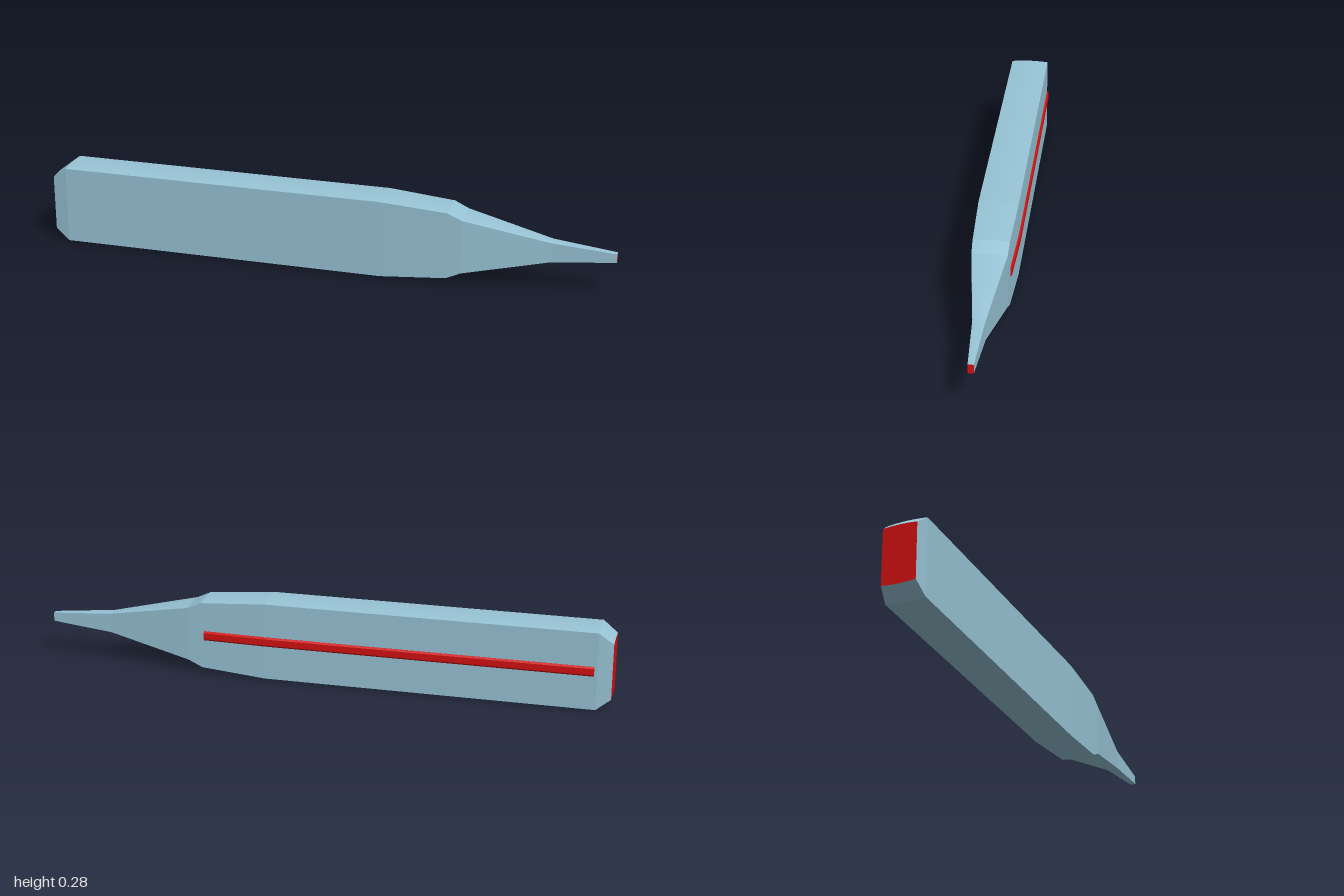
import * as THREE from 'three';

const MID_Y = 0.141, MID_Z = 0.003;

// Faceted geometry from a list of triangles' corner points
function facets(points) {
  const g = new THREE.BufferGeometry().setFromPoints(points);
  g.computeVertexNormals();
  return g;
}

// Skin between successive rings, ordered from low x to high x
function loft(rings) {
  const pts = [];
  for (let s = 0; s < rings.length - 1; s++) {
    const a = rings[s], b = rings[s + 1];
    for (let i = 0; i < a.length; i++) {
      const j = (i + 1) % a.length;
      pts.push(a[i], b[i], b[j], a[i], b[j], a[j]);
    }
  }
  return facets(pts);
}

// Flat end face; the high-x end is wound the other way
function cap(ring, highEnd) {
  const pts = [];
  for (let i = 1; i < ring.length - 1; i++) {
    if (highEnd) pts.push(ring[0], ring[i + 1], ring[i]);
    else pts.push(ring[0], ring[i], ring[i + 1]);
  }
  return facets(pts);
}

// Body section: flat sides with gently crowned top and bottom
function bodyRing([x, halfY, halfZ]) {
  const n = 6, ring = [];
  for (const side of [-1, 1]) {
    for (let i = 0; i <= n; i++) {
      const t = -1 + (2 * i) / n;
      const y = halfY - 0.004 * (halfZ / 0.068) * t * t;
      ring.push(new THREE.Vector3(x, MID_Y + side * y, MID_Z - side * t * halfZ));
    }
  }
  return ring;
}

// Rail section: a shallow strip with chamfered outer edges
function railRing([x, surfaceZ]) {
  const profile = [[-0.011, -0.006], [-0.017, -0.001], [-0.017, 0.004],
    [0.017, 0.004], [0.017, -0.001], [0.011, -0.006]];
  return profile.map(([y, z]) => new THREE.Vector3(x, MID_Y + y, surfaceZ + z));
}

export function createModel() {
  const model = new THREE.Group();
  const blue = new THREE.MeshStandardMaterial({ color: 0x98c4d6 });
  blue.name = 'paleBlue';
  const red = new THREE.MeshStandardMaterial({ color: 0xd41111 });
  red.name = 'red';

  const add = (name, geometry, material) => {
    const mesh = new THREE.Mesh(geometry, material);
    mesh.name = name;
    model.add(mesh);
  };

  // Body and tapering nose: x, half height, half depth
  const body = [
    [-1, 0.102, 0.059], [-0.95, 0.141, 0.068], [0.2, 0.141, 0.068],
    [0.43, 0.123, 0.061], [0.48, 0.1, 0.059], [0.78, 0.036, 0.021],
    [1, 0.016, 0.0095],
  ].map(bodyRing);
  add('body', loft(body), blue);

  // Red end faces
  add('tailFace', cap(body[0], false), red);
  add('noseTip', cap(body[body.length - 1], true), red);

  // Rail along the back, following the body surface
  const rail = [[-0.94, -0.065], [0.2, -0.065], [0.42, -0.058]].map(railRing);
  add('rail', loft(rail), red);
  add('railTailEnd', cap(rail[0], false), red);
  add('railNoseEnd', cap(rail[2], true), red);

  return model;
}
